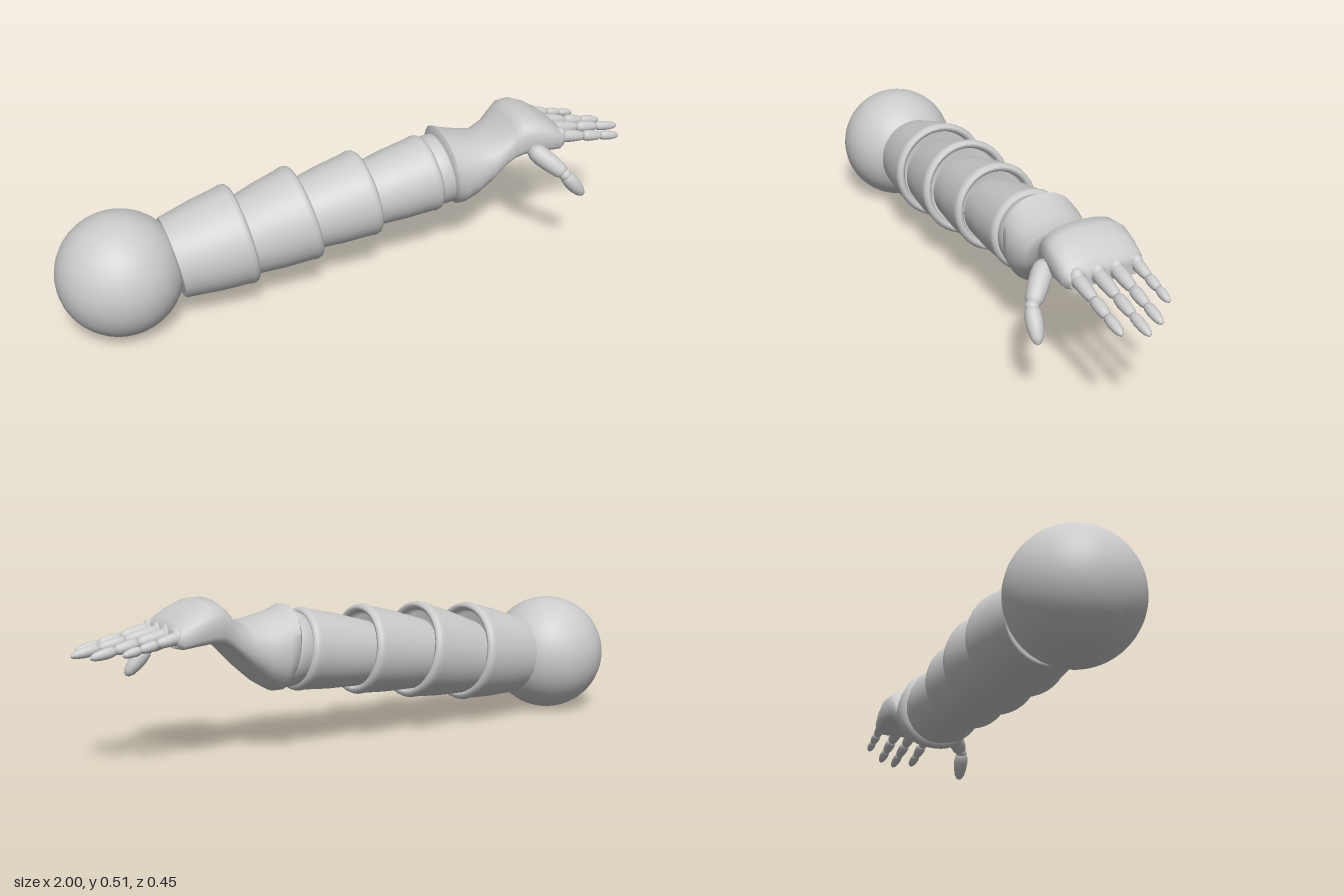
import * as THREE from 'three';
import { toCreasedNormals } from 'three/addons/utils/BufferGeometryUtils.js';

const material = new THREE.MeshStandardMaterial({ color: 0xcccccc, side: THREE.DoubleSide });
const UP = new THREE.Vector3(0, 1, 0);

function add(parent, name, geometry) {
  const mesh = new THREE.Mesh(geometry, material);
  mesh.name = name;
  parent.add(mesh);
  return mesh;
}

// Lathe whose axis runs from point a to point b; profile(length) gives [radius, height] pairs
function latheBetween(parent, name, a, b, profile, sides) {
  const from = new THREE.Vector3(...a);
  const dir = new THREE.Vector3(...b).sub(from);
  const length = dir.length();
  const points = profile(length).map(([r, y]) => new THREE.Vector2(r, y));
  const mesh = add(parent, name, new THREE.LatheGeometry(points, sides));
  mesh.position.copy(from);
  mesh.quaternion.setFromUnitVectors(UP, dir.normalize());
  return mesh;
}

// Flared sleeve with a rounded lip and a recessed end
function sleeve(parent, name, a, b, r0, r1) {
  const mid = r0 + (r1 - r0) * 0.6;
  return latheBetween(parent, name, a, b, (L) => [
    [0, 0], [r0 - 0.006, 0], [r0, 0.004], [mid, L * 0.5], [r1 - 0.004, L * 0.85],
    [r1, L - 0.022], [r1 - 0.003, L - 0.009], [r1 - 0.011, L - 0.001],
    [r1 - 0.02, L - 0.002], [r1 - 0.027, L - 0.012], [r1 - 0.032, L - 0.04], [0, L - 0.04],
  ], 40);
}

// Rounded finger bone, overlapping its neighbours a little
function bone(parent, name, a, b, r, tip = false) {
  const outline = tip
    ? [[0, 0], [0.6, 0.05], [0.9, 0.18], [1, 0.38], [0.92, 0.62], [0.7, 0.84], [0.38, 0.96], [0, 1]]
    : [[0, -0.06], [0.6, -0.03], [0.9, 0.1], [1, 0.3], [0.95, 0.6], [0.8, 0.88], [0.5, 1.02], [0, 1.06]];
  return latheBetween(parent, name, a, b, (L) => outline.map(([x, y]) => [x * r, y * L]), 16);
}

// Wrist and palm skinned over cross-sections: x, centre z, half width, top, bottom, slant, hollow
function handGeometry() {
  const rows = [
    [0.325, -0.03, 0.122, 0.458, 0.218, 0.17, 0],
    [0.335, -0.031, 0.133, 0.474, 0.205, 0.16, 0],
    [0.365, -0.032, 0.136, 0.458, 0.206, 0.11, 0],
    [0.415, -0.026, 0.131, 0.443, 0.233, 0.05, 0],
    [0.47, -0.021, 0.121, 0.431, 0.28, 0, 0],
    [0.52, -0.023, 0.112, 0.45, 0.335, 0, 0.01],
    [0.55, -0.021, 0.117, 0.488, 0.355, 0, 0.02],
    [0.578, -0.02, 0.127, 0.512, 0.365, 0, 0.032],
    [0.62, -0.021, 0.135, 0.511, 0.368, 0, 0.042],
    [0.67, -0.021, 0.135, 0.489, 0.367, 0, 0.04],
    [0.712, -0.021, 0.13, 0.461, 0.367, 0, 0.025],
    [0.73, -0.021, 0.118, 0.446, 0.377, 0, 0.01],
  ];
  const n = 32, positions = [], index = [];
  const power = (v, p) => Math.sign(v) * Math.abs(v) ** p;
  for (const [x, zc, w, top, bottom, slant, hollow] of rows) {
    const yc = (top + bottom) / 2, h = (top - bottom) / 2;
    for (let j = 0; j < n; j++) {
      const t = (j / n) * Math.PI * 2, c = Math.cos(t), s = Math.sin(t);
      const p = hollow > 0 ? (s < 0 ? 0.6 : 0.75) : 0.88;
      const dy = h * power(s, p);
      const lift = s < 0 ? hollow * s ** 4 : 0;
      positions.push(x - slant * dy, yc + dy + lift, zc + w * power(c, p));
    }
  }
  const last = (rows.length - 1) * n, start = rows.length * n, end = start + 1;
  positions.push(0.325, 0.338, -0.03, 0.73, 0.412, -0.021);
  for (let j = 0; j < n; j++) {
    const k = (j + 1) % n;
    for (let i = 0; i < last; i += n) {
      index.push(i + j, i + n + j, i + k, i + k, i + n + j, i + n + k);
    }
    index.push(start, j, k, end, last + k, last + j);
  }
  const geometry = new THREE.BufferGeometry();
  geometry.setAttribute('position', new THREE.Float32BufferAttribute(positions, 3));
  geometry.setIndex(index);
  return toCreasedNormals(geometry, 0.9);
}

export function createModel() {
  const model = new THREE.Group();
  model.name = 'segmentedArm';

  // Shoulder ball
  add(model, 'shoulderBall', new THREE.SphereGeometry(0.202, 40, 28)).position.set(-0.798, 0.204, -0.023);

  // Overlapping arm sleeves: start, end, start radius, end radius
  const arm = new THREE.Group();
  arm.name = 'arm';
  model.add(arm);
  [
    [[-0.63, 0.212, -0.028], [-0.388, 0.251, -0.028], 0.136, 0.17],
    [[-0.43, 0.224, -0.028], [-0.17, 0.28, -0.028], 0.125, 0.164],
    [[-0.21, 0.26, -0.028], [0.05, 0.303, -0.028], 0.118, 0.149],
    [[0.01, 0.284, -0.028], [0.28, 0.327, -0.028], 0.107, 0.134],
  ].forEach(([a, b, r0, r1], i) => sleeve(arm, `armSleeve${i + 1}`, a, b, r0, r1));

  // Cuff joining the arm to the hand
  latheBetween(model, 'wristCuff', [0.235, 0.317, -0.028], [0.335, 0.335, -0.028], (L) => [
    [0, 0], [0.1, 0], [0.112, L * 0.2], [0.122, L * 0.6], [0.122, L * 0.85], [0.114, L], [0, L],
  ], 40);

  const hand = new THREE.Group();
  hand.name = 'hand';
  model.add(hand);
  add(hand, 'palm', handGeometry());

  // Four fingers: z, tip x, tip y
  [[0.072, 0.965, 0.371], [0.007, 1.0, 0.371], [-0.054, 0.965, 0.371], [-0.123, 0.895, 0.382]]
    .forEach(([z, tipX, tipY], i) => {
      const finger = new THREE.Group();
      finger.name = `finger${i + 1}`;
      hand.add(finger);
      const at = (t) => [0.71 + (tipX - 0.71) * t, 0.421 + (tipY - 0.421) * t, z];
      const size = i === 3 ? 0.85 : 1;
      const knuckle = add(finger, 'knuckle', new THREE.SphereGeometry(0.024 * size, 16, 12));
      knuckle.position.set(0.722, 0.418, z);
      knuckle.scale.y = 1.3;
      bone(finger, 'lowerBone', at(0.02), at(0.42), 0.022 * size);
      bone(finger, 'middleBone', at(0.42), at(0.7), 0.019 * size);
      bone(finger, 'fingertip', at(0.67), at(1), 0.0165 * size, true);
    });

  // Thumb
  const thumb = new THREE.Group();
  thumb.name = 'thumb';
  hand.add(thumb);
  bone(thumb, 'thumbBase', [0.598, 0.41, 0.105], [0.682, 0.34, 0.187], 0.033);
  add(thumb, 'thumbJoint', new THREE.SphereGeometry(0.021, 16, 12)).position.set(0.683, 0.337, 0.189);
  bone(thumb, 'thumbTip', [0.678, 0.342, 0.19], [0.752, 0.252, 0.204], 0.026, true);

  return model;
}
